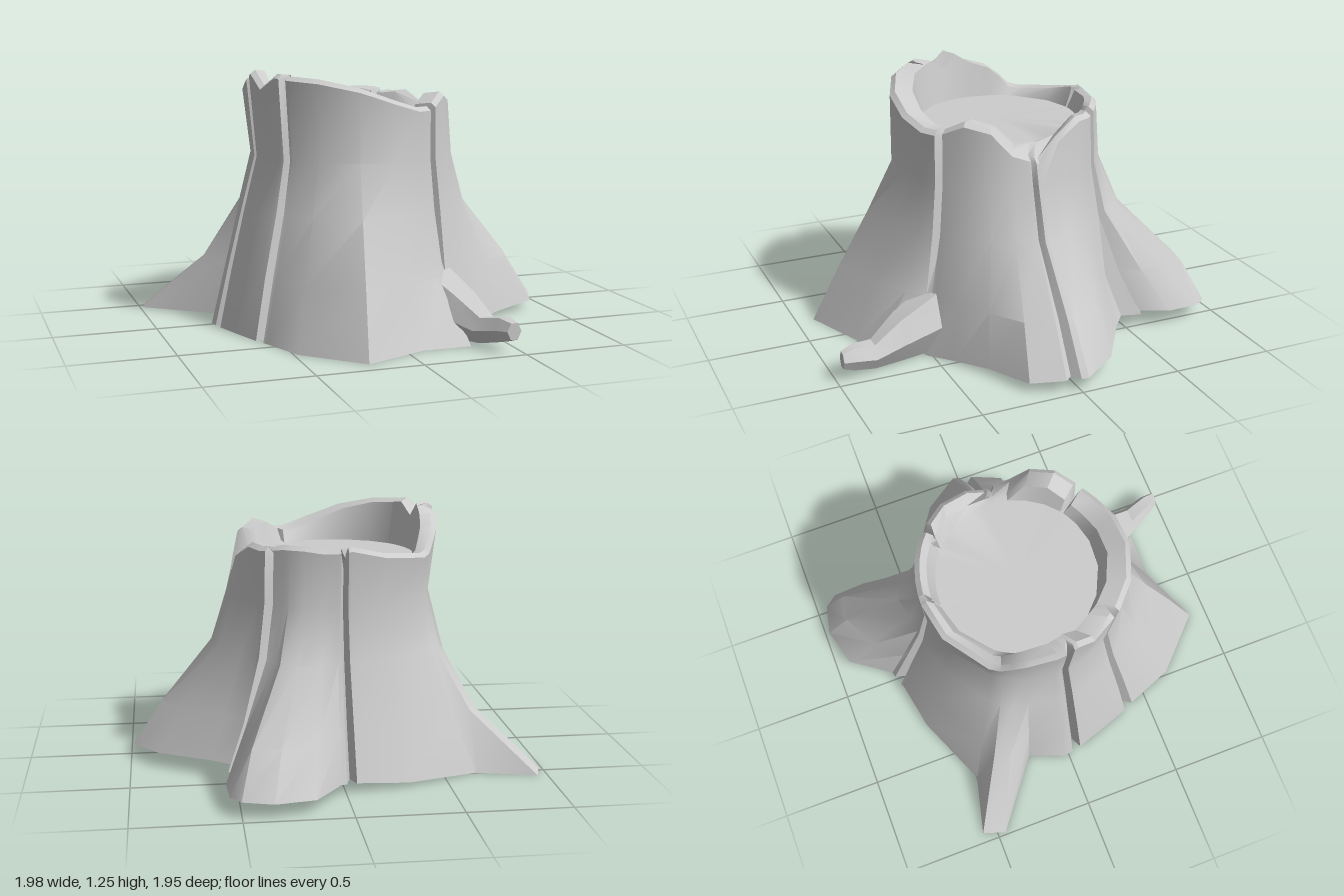
import * as THREE from 'three';
import { toCreasedNormals } from 'three/addons/utils/BufferGeometryUtils.js';

// Bark columns: angle, radius at the ground, at 0.3, at 0.6, height of the rim
const COLUMNS = [
  [14, .93, .79, .57, 1.02], [26, .75, .68, .56, 1.13], [41, .66, .60, .54, 1.16],
  [57, .64, .57, .52, 1.10], [68, .85, .62, .53, 1.10], [84, .79, .68, .56, 1.14],
  [104, .94, .80, .64, 1.20], [126, .82, .72, .60, 1.24], [142, .72, .64, .55, 1.25],
  [151, .70, .64, .56, 1.26], [162, .69, .63, .56, 1.20], [172, .70, .64, .57, 1.27],
  [182, .72, .65, .57, 1.22], [197, .68, .63, .56, 1.18], [205, 1.09, .76, .57, 1.13],
  [211, 1.11, .76, .57, 1.08], [217, .83, .70, .56, 1.07], [245, .72, .63, .54, 1.10],
  [264, .70, .63, .54, 1.14], [272, .73, .65, .55, 1.13], [280, .94, .78, .57, 1.13],
  [290, 1.04, .92, .62, 1.14], [298, 1.07, .95, .62, 1.14], [302, 1.04, .85, .58, 1.14],
  [318, .69, .60, .53, 1.12], [328, .72, .64, .54, 1.13], [346, .89, .77, .57, 1.06],
  [358, .99, .84, .59, .97],
];

// Cracks: angle, depth, half width in degrees, lowest height, whether the rim is notched
const CRACKS = [
  [2, .04, 2, 0, false], [56, .10, 2.5, .5, true], [146, .06, 2.2, 0, false],
  [176, .06, 2, 0, false], [268, .07, 2, 0, true], [311, .08, 3, 0, true],
];

const DISC_Y = 1.03;
const CENTRE = -.03;
const rad = THREE.MathUtils.degToRad;

// Column values at any angle, blended between the two nearest columns
function columnAt(angle) {
  const n = COLUMNS.length;
  let i = COLUMNS.findIndex(c => c[0] > angle);
  if (i < 0) i = n;
  const a = COLUMNS[(i + n - 1) % n], b = COLUMNS[i % n];
  const span = (b[0] - a[0] + 360) % 360;
  const t = ((angle - a[0] + 360) % 360) / span;
  return a.map((v, k) => v + (b[k] - v) * t);
}

// Profile of one column, from the underside centre over the rim to the cut face centre
function profile(angle, crack) {
  const [, base, low, mid, top] = columnAt(angle);
  const c = Math.cos(rad(angle)), s = Math.sin(rad(angle));
  const baseY = .015 + .08 * Math.max(0, c * .75 - s * .66);
  const cut = y => (crack && y >= crack[3] ? crack[1] : 0);
  const rimY = crack && crack[4] ? Math.min(top, DISC_Y + .02) : top;
  const rimR = .51 - .03 * c;
  const at = (r, y) => [c * r, y, s * r];
  const inner = (r, y) => [CENTRE + c * r, y, CENTRE + s * r];
  return [
    [0, .02, 0],
    at(base - cut(0), baseY),
    at(low - cut(.3), .3),
    at(mid - cut(.6) * .8, .6),
    at(.5 + .2 * (mid - .55) - cut(.85) * .7, .85),
    at(rimR - cut(1) * .7, rimY - .02),
    at(rimR - .025 - cut(1) * .7, rimY),
    inner(.425, Math.max(rimY - .01, DISC_Y)),
    inner(.39, DISC_Y),
    [CENTRE, DISC_Y, CENTRE],
  ];
}

// Join neighbouring rows of points into a closed skin
function skin(rows, crease) {
  const pos = [];
  const v = p => new THREE.Vector3(...p);
  const tri = (a, b, c) => {
    const area = v(b).sub(v(a)).cross(v(c).sub(v(a))).length();
    if (area > 1e-7) pos.push(...a, ...b, ...c);
  };
  rows.forEach((a, i) => {
    const b = rows[(i + 1) % rows.length];
    for (let j = 0; j < a.length - 1; j++) {
      tri(a[j], a[j + 1], b[j]);
      tri(b[j], a[j + 1], b[j + 1]);
    }
  });
  const g = new THREE.BufferGeometry();
  g.setAttribute('position', new THREE.Float32BufferAttribute(pos, 3));
  return toCreasedNormals(g, crease);
}

function stumpGeometry() {
  const near = a => CRACKS.some(k => Math.abs(k[0] - a) <= k[2] + .5);
  const list = COLUMNS.filter(c => !near(c[0])).map(c => [c[0], null]);
  for (const k of CRACKS) list.push([k[0] - k[2], null], [k[0], k], [k[0] + k[2], null]);
  list.sort((a, b) => a[0] - b[0]);
  return skin(list.map(([a, k]) => profile(a, k)), .6);
}

// Thin root stub with an upturned blunt tip: x, y, z, half width, half height
function rootGeometry() {
  const rings = [
    [.28, .17, .46, .14, .17], [.34, .13, .66, .11, .12], [.39, .09, .80, .07, .07],
    [.43, .115, .91, .055, .065], [.45, .12, .97, .035, .045],
  ];
  const rows = [];
  for (let i = 0; i < 6; i++) {
    const a = -i * Math.PI / 3;
    const row = rings.map(([x, y, z, w, h]) => [x + Math.cos(a) * w, y + Math.sin(a) * h, z]);
    rows.push([[.28, .17, .46], ...row, [.45, .12, .97]]);
  }
  return skin(rows, .7);
}

export function createModel() {
  const wood = new THREE.MeshStandardMaterial({ color: 0xcccccc });
  wood.name = 'wood grey';
  const group = new THREE.Group();
  group.name = 'treeStump';
  const add = (name, geometry) => {
    const mesh = new THREE.Mesh(geometry, wood);
    mesh.name = name;
    group.add(mesh);
  };
  add('trunk', stumpGeometry());
  add('frontRoot', rootGeometry());
  return group;
}
